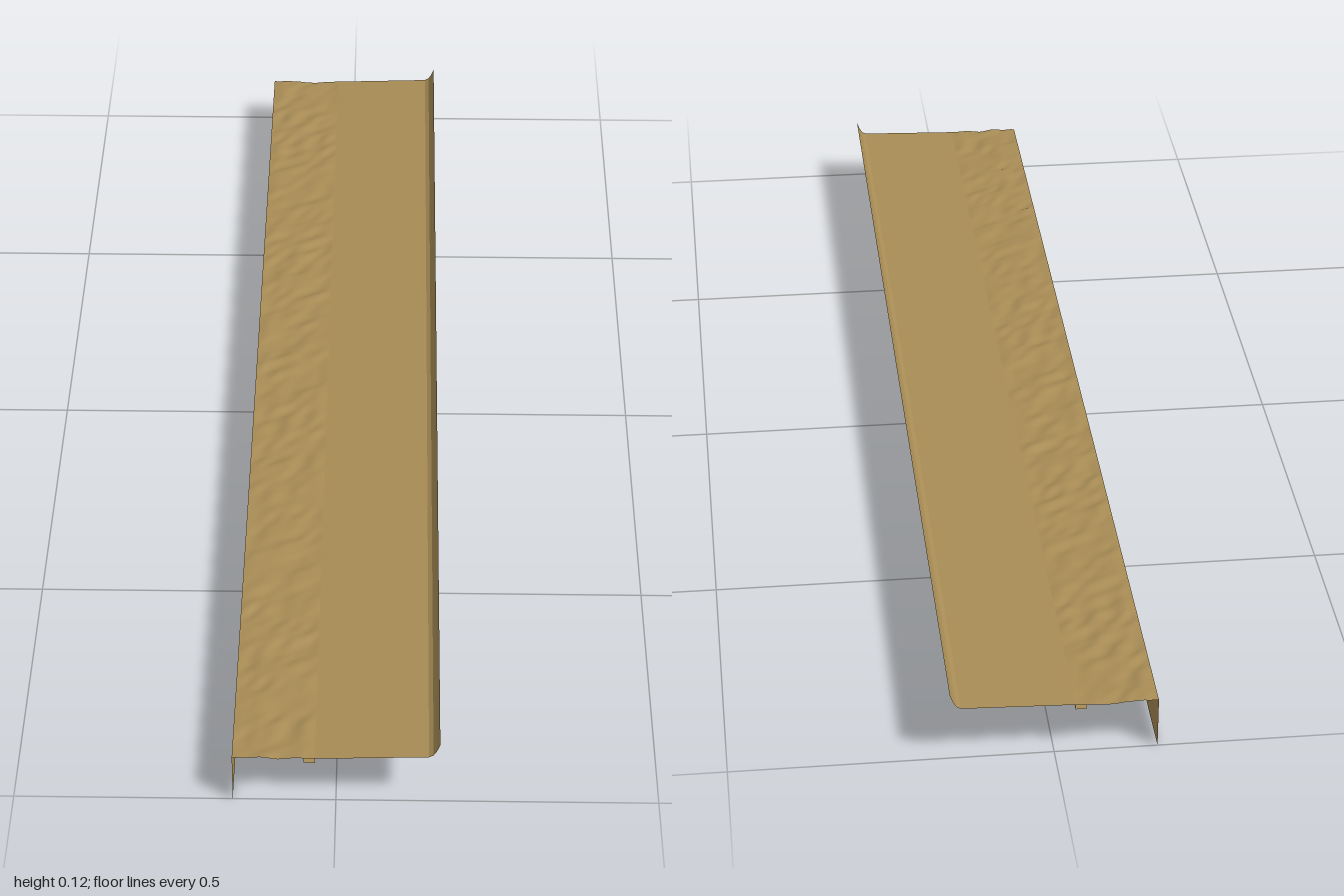
import * as THREE from 'three';

const LENGTH = 2;
const material = new THREE.MeshStandardMaterial({ color: 0xa88c55, side: THREE.DoubleSide });

// Thin sheet swept along z from a cross-section of [x, y] points, with sharp folds
function foldedSheet(name, points) {
  const positions = [];
  const h = LENGTH / 2;
  for (let i = 0; i < points.length - 1; i++) {
    const [ax, ay] = points[i];
    const [bx, by] = points[i + 1];
    positions.push(ax, ay, h, bx, by, h, bx, by, -h);
    positions.push(ax, ay, h, bx, by, -h, ax, ay, -h);
  }
  const geometry = new THREE.BufferGeometry();
  geometry.setAttribute('position', new THREE.Float32BufferAttribute(positions, 3));
  geometry.computeVertexNormals();
  const mesh = new THREE.Mesh(geometry, material);
  mesh.name = name;
  return mesh;
}

// Seeded lattice value in -1..1
function lattice(i, j) {
  const s = Math.sin(i * 127.1 + j * 311.7) * 43758.5453;
  return (s - Math.floor(s)) * 2 - 1;
}

// Smoothly blended lattice noise
function noise(u, v) {
  const i = Math.floor(u), j = Math.floor(v);
  const f = THREE.MathUtils.smoothstep(u - i, 0, 1);
  const g = THREE.MathUtils.smoothstep(v - j, 0, 1);
  const { lerp } = THREE.MathUtils;
  return lerp(
    lerp(lattice(i, j), lattice(i + 1, j), f),
    lerp(lattice(i, j + 1), lattice(i + 1, j + 1), f), g);
}

// Hammered strip: a plane with shallow dents that fade out at the long edges
function texturedStrip(x0, x1, y) {
  const width = x1 - x0;
  const geometry = new THREE.PlaneGeometry(width, LENGTH, 18, 240);
  geometry.rotateX(-Math.PI / 2);
  geometry.translate((x0 + x1) / 2, y, 0);
  const p = geometry.attributes.position;
  for (let i = 0; i < p.count; i++) {
    const x = p.getX(i), z = p.getZ(i);
    const edge = Math.min(x - x0, x1 - x) / 0.012;
    const fade = THREE.MathUtils.clamp(edge, 0, 1);
    p.setY(i, y + 0.0032 * fade * noise(x * 42, z * 48 + x * 25));
  }
  geometry.computeVertexNormals();
  const mesh = new THREE.Mesh(geometry, material);
  mesh.name = 'texturedStrip';
  return mesh;
}

export function createModel() {
  const group = new THREE.Group();
  group.name = 'edgeTrim';
  group.add(
    // Downward skirt along the outer edge
    foldedSheet('skirt', [[-0.16, 0], [-0.16, 0.0855]]),
    texturedStrip(-0.16, -0.032, 0.0855),
    // Small hem hanging under the joint
    foldedSheet('jointHem', [[-0.05, 0.077], [-0.032, 0.077], [-0.032, 0.0855]]),
    // Smooth main panel, rising slightly toward the lip
    foldedSheet('panel', [[-0.032, 0.0855], [0.143, 0.091]]),
    // Upturned lip
    foldedSheet('lip', [[0.143, 0.091], [0.15, 0.095], [0.155, 0.103], [0.16, 0.116]])
  );
  return group;
}
